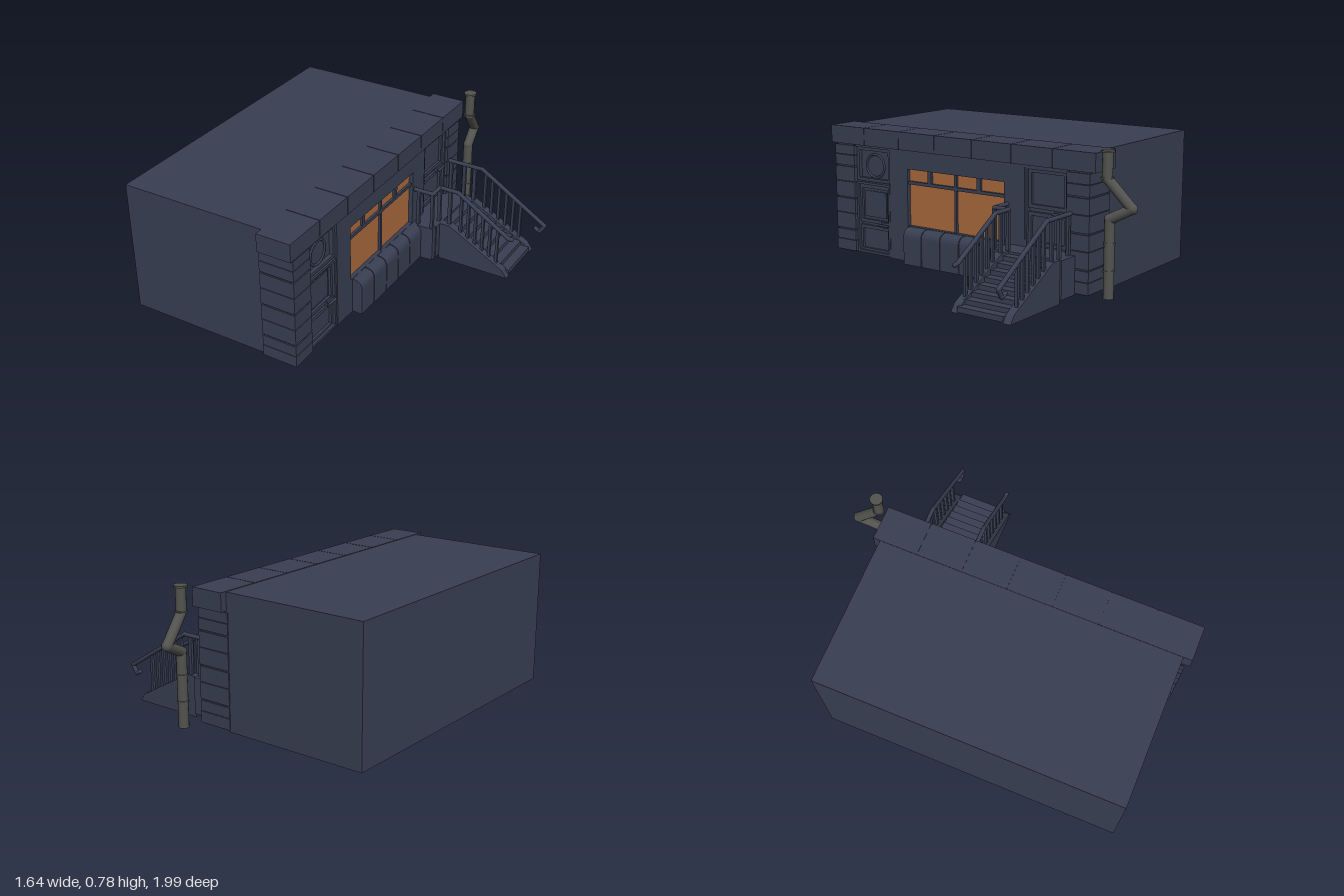
import * as THREE from 'three';

const wallMat = new THREE.MeshStandardMaterial({ color: 0x383f52 });
wallMat.name = 'slate blue';
const glassMat = new THREE.MeshStandardMaterial({ color: 0xab6a3c });
glassMat.name = 'amber glass';
const pipeMat = new THREE.MeshStandardMaterial({ color: 0x52534f });
pipeMat.name = 'pipe grey';

export function createModel() {
  const root = new THREE.Group();
  root.name = 'building';

  const add = (name, geo, mat = wallMat, parent = root) => {
    const m = new THREE.Mesh(geo, mat);
    m.name = name;
    parent.add(m);
    return m;
  };
  // Box given by its extents
  const box = (name, x0, x1, y0, y1, z0, z1, mat = wallMat, parent = root) => {
    const m = add(name, new THREE.BoxGeometry(x1 - x0, y1 - y0, z1 - z0), mat, parent);
    m.position.set((x0 + x1) / 2, (y0 + y1) / 2, (z0 + z1) / 2);
    return m;
  };
  const group = (name) => {
    const g = new THREE.Group();
    g.name = name;
    root.add(g);
    return g;
  };
  // Rectangular frame on the facade, extruded along x
  const frame = (name, x0, x1, y0, y1, z0, z1, w, parent) => {
    const rect = (P, a, b, c, d) => {
      const p = new P();
      p.moveTo(a, b); p.lineTo(c, b); p.lineTo(c, d); p.lineTo(a, d); p.closePath();
      return p;
    };
    const s = rect(THREE.Shape, -z1, y0, -z0, y1);
    s.holes.push(rect(THREE.Path, -z1 + w, y0 + w, -z0 - w, y1 - w));
    const g = new THREE.ExtrudeGeometry(s, { depth: x1 - x0, bevelEnabled: false });
    g.rotateY(Math.PI / 2).translate(x0, 0, 0);
    add(name, g, wallMat, parent);
  };
  // Round or square bar between two points
  const bar = (name, a, b, r, sides, mat, parent) => {
    const A = new THREE.Vector3(...a), B = new THREE.Vector3(...b), d = B.clone().sub(A);
    const m = add(name, new THREE.CylinderGeometry(r, r, d.length(), sides), mat, parent);
    m.position.copy(A).add(B).multiplyScalar(0.5);
    m.quaternion.setFromUnitVectors(new THREE.Vector3(0, 1, 0), d.normalize());
    return m;
  };

  // Main volume and facade backing
  box('mainBlock', -0.82, 0.005, 0.02, 0.752, -0.73, 0.95);
  box('facadeCore', 0, 0.15, 0.025, 0.655, -0.72, 0.96);

  // Cornice in segments with fine seams
  const cornice = group('cornice');
  box('corniceCore', 0.008, 0.194, 0.657, 0.752, -0.768, 0.998, wallMat, cornice);
  for (let i = 0; i < 7; i++) {
    const z = -0.77 + i * 1.77 / 7;
    box('corniceSegment', 0.005, 0.197, 0.655, 0.755, z + 0.002, z + 1.77 / 7 - 0.002, wallMat, cornice);
  }

  // Facade wall around openings
  const wall = group('facadeWall');
  box('wallLeftOfWindow', 0.14, 0.182, 0.025, 0.655, 0.445, 0.575, wallMat, wall);
  box('wallAboveWindow', 0.14, 0.182, 0.55, 0.655, -0.21, 0.445, wallMat, wall);
  box('wallBelowWindow', 0.14, 0.182, 0.025, 0.23, -0.21, 0.445, wallMat, wall);
  box('wallRightOfWindow', 0.14, 0.182, 0.025, 0.655, -0.34, -0.21, wallMat, wall);

  // Rusticated corner piers
  const rows = [0.03, 0.16, 0.345, 0.53, 0.655];
  for (const [z0, z1] of [[0.83, 0.975], [-0.735, -0.6]]) {
    const pier = group('cornerPier');
    box('pierCore', 0, 0.184, 0.025, 0.655, z0 + 0.008, z1 - 0.008, wallMat, pier);
    for (let i = 0; i < 4; i++) {
      const mid = (rows[i] + rows[i + 1]) / 2;
      box('pierBlock', -0.004, 0.193, rows[i], mid - 0.003, z0, z1, wallMat, pier);
      box('pierBlock', -0.004, 0.193, mid, rows[i + 1] - 0.008, z0, z1, wallMat, pier);
    }
  }

  // Window panes, bars and frame
  const win = group('window');
  box('windowGlass', 0.15, 0.158, 0.23, 0.55, -0.21, 0.445, glassMat, win);
  box('windowTransom', 0.15, 0.172, 0.464, 0.482, -0.21, 0.445, wallMat, win);
  box('windowMullion', 0.15, 0.172, 0.23, 0.55, 0.11, 0.125, wallMat, win);
  for (const z of [0.297, -0.038]) box('upperMullion', 0.15, 0.172, 0.48, 0.55, z - 0.013, z + 0.013, wallMat, win);

  // Rounded apron below the window, in ribbed sections
  const apron = group('windowApron');
  const prof = new THREE.Shape();
  prof.moveTo(0.17, 0.025); prof.lineTo(0.24, 0.025); prof.lineTo(0.24, 0.175);
  prof.quadraticCurveTo(0.24, 0.228, 0.19, 0.228); prof.lineTo(0.17, 0.228); prof.closePath();
  for (let i = 0; i < 5; i++) {
    const g = new THREE.ExtrudeGeometry(prof, { depth: 0.124, bevelEnabled: false, curveSegments: 6 });
    add('apronSection', g.translate(0, 0, -0.21 + i * 0.129), wallMat, apron);
  }
  box('apronCore', 0.17, 0.232, 0.028, 0.2, -0.208, 0.428, wallMat, apron);

  // Left door with round light above
  const left = group('leftDoor');
  frame('roundLightFrame', 0.14, 0.172, 0.448, 0.642, 0.577, 0.828, 0.018, left);
  box('lintel', 0.14, 0.182, 0.642, 0.655, 0.575, 0.83, wallMat, left);
  const ring = add('roundLightRing', new THREE.TorusGeometry(0.066, 0.007, 6, 28), wallMat, left);
  ring.rotation.y = Math.PI / 2;
  ring.position.set(0.152, 0.537, 0.705);
  frame('doorFrame', 0.14, 0.178, 0.028, 0.442, 0.58, 0.828, 0.014, left);
  frame('upperPanel', 0.14, 0.164, 0.205, 0.425, 0.59, 0.82, 0.02, left);
  frame('lowerPanel', 0.14, 0.164, 0.035, 0.19, 0.59, 0.82, 0.02, left);
  box('innerPanel', 0.14, 0.157, 0.24, 0.39, 0.625, 0.785, wallMat, left);
  box('handlePlate', 0.15, 0.172, 0.187, 0.22, 0.585, 0.655, wallMat, left);
  bar('handle', [0.182, 0.204, 0.59], [0.182, 0.204, 0.66], 0.007, 8, wallMat, left);

  // Right door above the landing
  const right = group('rightDoor');
  box('lintel', 0.14, 0.182, 0.642, 0.655, -0.6, -0.34, wallMat, right);
  frame('doorFrame', 0.14, 0.178, 0.2, 0.645, -0.6, -0.34, 0.012, right);
  frame('upperPanel', 0.14, 0.164, 0.43, 0.635, -0.59, -0.35, 0.02, right);
  frame('lowerPanel', 0.14, 0.164, 0.235, 0.41, -0.59, -0.35, 0.02, right);
  box('handlePlate', 0.15, 0.172, 0.4, 0.43, -0.59, -0.515, wallMat, right);
  bar('handle', [0.182, 0.416, -0.585], [0.182, 0.416, -0.51], 0.007, 8, wallMat, right);

  // Landing and steps
  const stairs = group('stairs');
  box('landing', 0.15, 0.315, 0.022, 0.225, -0.655, -0.25, wallMat, stairs);
  const corner = new THREE.Shape([[0.15, 0.21], [0.245, 0.21], [0.31, 0.215], [0.31, 0.29], [0.15, 0.29]]
    .map(([x, z]) => new THREE.Vector2(x, z)));
  const cg = new THREE.ExtrudeGeometry(corner, { depth: 0.203, bevelEnabled: false });
  add('landingCorner', cg.rotateX(-Math.PI / 2).translate(0, 0.022, 0), wallMat, stairs);
  for (let i = 0; i < 8; i++) {
    const x = 0.3 + i * 0.0525, y = 0.212 - i * 0.0255;
    box('step', x, x + 0.064, Math.max(y - 0.045, 0.005), y, -0.6, -0.325, wallMat, stairs);
  }
  // Side stringers
  const side = new THREE.Shape([[0.315, 0], [0.735, 0], [0.705, 0.042], [0.375, 0.226], [0.315, 0.226]]
    .map(([x, y]) => new THREE.Vector2(x, y)));
  for (const z of [-0.645, -0.335]) {
    const g = new THREE.ExtrudeGeometry(side, { depth: 0.045, bevelEnabled: false });
    add('stringer', g.translate(0, 0, z), wallMat, stairs);
  }

  // Railings: handrail paths and balusters
  const rails = group('railings');
  const path = (pts) => {
    for (let i = 0; i + 1 < pts.length; i++) {
      bar('handrail', pts[i], pts[i + 1], 0.012, 8, wallMat, rails);
      add('railJoint', new THREE.SphereGeometry(0.012, 8, 6), wallMat, rails).position.set(...pts[i + 1]);
    }
  };
  const zf = -0.625, zn = -0.318;
  path([[0.18, 0.437, zf], [0.405, 0.437, zf], [0.805, 0.186, zf], [0.778, 0.142, zf], [0.752, 0.156, zf]]);
  path([[0.18, 0.437, -0.232], [0.295, 0.437, -0.232], [0.295, 0.437, zn], [0.405, 0.437, zn],
    [0.715, 0.243, zn], [0.738, 0.24, zn]]);
  for (const z of [zf, zn]) {
    for (const x of [0.295, 0.36, 0.43, 0.475, 0.52, 0.565, 0.61, 0.655]) {
      const top = x < 0.405 ? 0.435 : 0.437 - (x - 0.405) * 0.627;
      const foot = x < 0.375 ? 0.22 : 0.22 - (x - 0.375) * 0.557;
      const w = x < 0.4 ? 0.01 : 0.0075;
      box('baluster', x - w, x + w, foot, top, z - 0.008, z + 0.008, wallMat, rails);
    }
  }
  for (const x of [0.21, 0.295]) box('landingPost', x - 0.009, x + 0.009, 0.22, 0.435, -0.241, -0.223, wallMat, rails);
  box('landingPost', 0.201, 0.219, 0.22, 0.435, zf - 0.008, zf + 0.008, wallMat, rails);

  // Bent drainpipe with collars
  const pipe = group('drainpipe');
  const bends = [[0.205, 0.775, -0.84], [0.205, 0.64, -0.84], [0.182, 0.5, -0.968], [0.2, 0.44, -0.855], [0.2, 0.04, -0.855]];
  for (let i = 0; i < 4; i++) {
    bar('pipeSection', bends[i], bends[i + 1], 0.027, 16, pipeMat, pipe);
    if (i < 3) add('pipeElbow', new THREE.SphereGeometry(0.028, 16, 10), pipeMat, pipe).position.set(...bends[i + 1]);
  }
  for (const [y, x, z, r] of [[0.774, 0.205, -0.84, 0.035], [0.642, 0.205, -0.84, 0.033], [0.32, 0.2, -0.855, 0.031], [0.18, 0.2, -0.855, 0.031]])
    bar('pipeCollar', [x, y - 0.005, z], [x, y + 0.005, z], r, 16, pipeMat, pipe);

  return root;
}
